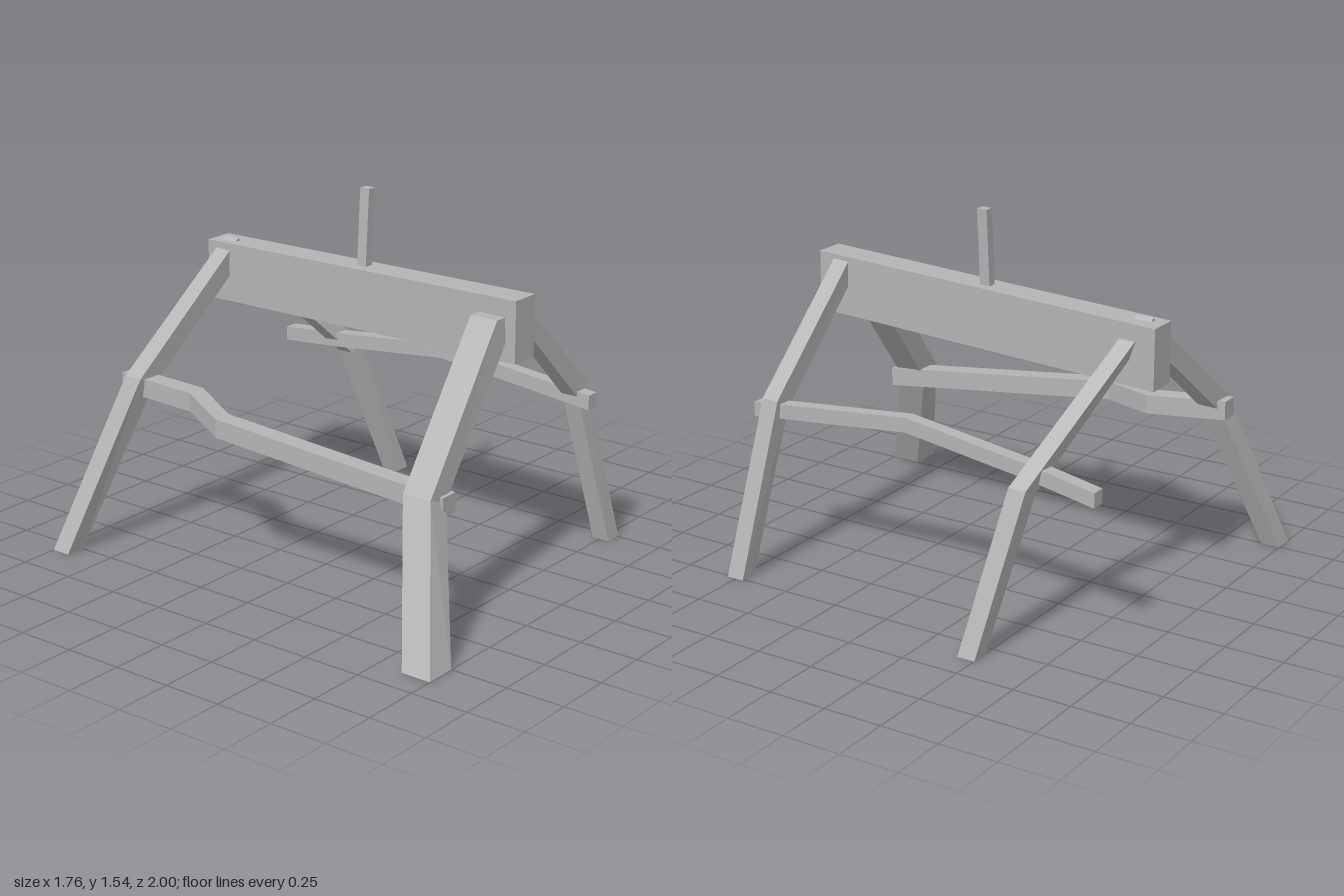
import * as THREE from 'three';

// Four-cornered sections joined into a closed, flat-faced timber
function loft(name, sections, material) {
  const pts = sections.flat().map((p) => new THREE.Vector3(...p));
  const n = sections.length;
  const faces = [];
  const quad = (a, b, c, d) => faces.push([a, b, c], [a, c, d]);
  quad(3, 2, 1, 0);
  for (let s = 0; s < n - 1; s++) {
    for (let k = 0; k < 4; k++) {
      const a = s * 4 + k, b = s * 4 + (k + 1) % 4;
      quad(a, b, b + 4, a + 4);
    }
  }
  const e = (n - 1) * 4;
  quad(e, e + 1, e + 2, e + 3);
  // Turn every face outward
  let volume = 0;
  for (const [a, b, c] of faces) volume += pts[a].dot(pts[b].clone().cross(pts[c]));
  if (volume < 0) faces.forEach((f) => f.reverse());
  const indexed = new THREE.BufferGeometry().setFromPoints(pts);
  indexed.setIndex(faces.flat());
  const geometry = indexed.toNonIndexed();
  geometry.computeVertexNormals();
  const mesh = new THREE.Mesh(geometry, material);
  mesh.name = name;
  return mesh;
}

// Leg section: outer and inner edge in x and y, then z centre and depth
const legSection = ([xo, yo, xi, yi, z, d]) => [
  [xo, yo, z - d / 2], [xi, yi, z - d / 2], [xi, yi, z + d / 2], [xo, yo, z + d / 2],
];

// Rail section: centre, width and height, upright across z
const railSection = ([x, y, z, w, h]) => [
  [x - w / 2, y - h / 2, z], [x + w / 2, y - h / 2, z],
  [x + w / 2, y + h / 2, z], [x - w / 2, y + h / 2, z],
];

export function createModel() {
  const group = new THREE.Group();
  const wood = new THREE.MeshStandardMaterial({ color: 0xb4b4b4 });
  wood.name = 'grey timber';

  // Bent legs, from foot through knee to the beam
  const legs = {
    frontRightLeg: [
      [-0.885, 0, -0.75, 0, 0.935, 0.13],
      [-0.59, 0.57, -0.49, 0.537, 0.715, 0.13],
      [-0.115, 1.16, 0.02, 1.16, 0.68, 0.125],
    ],
    backRightLeg: [
      [-0.835, 0, -0.745, 0, -0.958, 0.084],
      [-0.53, 0.725, -0.455, 0.675, -0.8, 0.085],
      [0.07, 1.212, 0.12, 1.14, -0.765, 0.075],
    ],
    backLeftLeg: [
      [0.88, 0, 0.8, 0, -0.463, 0.078],
      [0.655, 0.64, 0.58, 0.61, -0.55, 0.078],
      [0.155, 1.13, 0.07, 1.13, -0.735, 0.07],
    ],
    frontLeftLeg: [
      [0.76, 0, 0.68, 0, 0.753, 0.078],
      [0.56, 0.735, 0.495, 0.68, 0.698, 0.076],
      [0.068, 1.215, -0.04, 1.215, 0.683, 0.076],
    ],
  };
  for (const [name, rows] of Object.entries(legs)) {
    group.add(loft(name, rows.map(legSection), wood));
  }

  // Main beam and crooked side rails
  const rails = {
    beam: [
      [0, 1.108, 0.795, 0.13, 0.255],
      [0.085, 1.068, -0.855, 0.13, 0.255],
    ],
    leftRail: [
      [0.515, 0.673, 0.793, 0.058, 0.062],
      [0.515, 0.75, 0.04, 0.058, 0.062],
      [0.54, 0.682, -0.55, 0.062, 0.062],
      [0.575, 0.645, -0.86, 0.06, 0.062],
    ],
    rightRail: [
      [-0.487, 0.527, 0.793, 0.082, 0.08],
      [-0.57, 0.637, -0.275, 0.08, 0.08],
      [-0.443, 0.662, -0.525, 0.084, 0.08],
      [-0.475, 0.688, -0.875, 0.08, 0.08],
    ],
  };
  for (const [name, rows] of Object.entries(rails)) {
    group.add(loft(name, rows.map(railSection), wood));
  }

  // Leaning upright post
  group.add(loft('post', [
    legSection([0.018, 1.1, 0.058, 1.1, -0.028, 0.045]),
    legSection([0.047, 1.537, 0.087, 1.537, -0.028, 0.045]),
  ], wood));

  return group;
}
